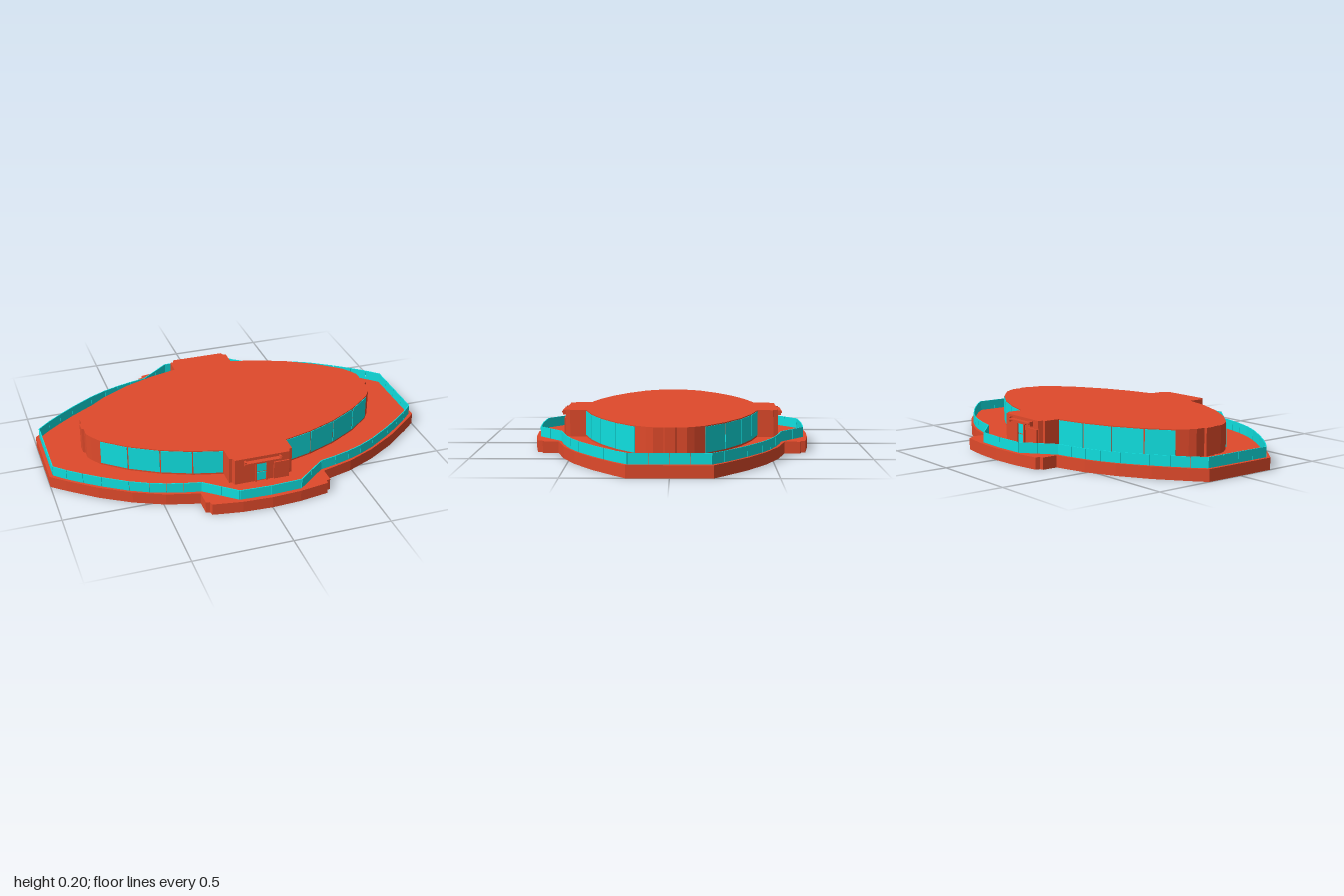
import * as THREE from 'three';

const red = new THREE.MeshStandardMaterial({ color: 0xe04a2b, flatShading: true });
const cyan = new THREE.MeshStandardMaterial({ color: 0x10e0e0, flatShading: true });

// Quarter outlines as [x, z], running from the +x end to the centre of the front
const BASE = [[1, 0.2], [0.93, 0.26], [0.79, 0.37], [0.64, 0.462], [0.49, 0.53], [0.325, 0.575],
  [0.325, 0.655], [0.305, 0.66], [0.3, 0.683], [0.15, 0.707], [0, 0.715]];
const RAIL = [[0.98, 0.19], [0.92, 0.247], [0.85, 0.303], [0.77, 0.362], [0.65, 0.44], [0.56, 0.485],
  [0.48, 0.515], [0.4, 0.538], [0.315, 0.557], [0.235, 0.622], [0.16, 0.683], [0, 0.69]];
const CABIN = [[0.793, 0.025], [0.782, 0.03], [0.782, 0.08], [0.765, 0.115], [0.73, 0.165], [0.61, 0.262],
  [0.465, 0.345], [0.315, 0.405], [0.165, 0.445], [0.165, 0.53], [0.15, 0.532], [0.143, 0.555], [0, 0.555]];
const WINDOWS = CABIN.slice(4, 9);

const CORNERS = [[1, 1], [-1, 1], [-1, -1], [1, -1]];

// Mirrors a quarter outline into a slab standing between two heights
function slab(name, quarter, y0, y1) {
  const points = CORNERS.flatMap(([sx, sz]) => {
    const part = quarter.map(([x, z]) => new THREE.Vector2(sx * x, sz * z));
    return sx * sz < 0 ? part.reverse() : part;
  });
  const outline = points.filter((p, i) => p.distanceTo(points[(i + 1) % points.length]) > 1e-5);
  const geometry = new THREE.ExtrudeGeometry(new THREE.Shape(outline), { depth: y1 - y0, bevelEnabled: false });
  geometry.rotateX(-Math.PI / 2);
  const mesh = new THREE.Mesh(geometry, red);
  mesh.name = name;
  mesh.position.y = y0;
  return mesh;
}

// Upright pane between two plan points
function pane(name, [ax, az], [bx, bz], y0, y1, thickness, gap, material = cyan) {
  const length = Math.hypot(bx - ax, bz - az);
  const mesh = new THREE.Mesh(new THREE.BoxGeometry(length - gap, y1 - y0, thickness), material);
  mesh.name = name;
  mesh.position.set((ax + bx) / 2, (y0 + y1) / 2, (az + bz) / 2);
  mesh.rotation.y = -Math.atan2(bz - az, bx - ax);
  return mesh;
}

function box(name, material, x0, x1, y0, y1, z0, z1) {
  const mesh = new THREE.Mesh(new THREE.BoxGeometry(x1 - x0, y1 - y0, z1 - z0), material);
  mesh.name = name;
  mesh.position.set((x0 + x1) / 2, (y0 + y1) / 2, (z0 + z1) / 2);
  return mesh;
}

// Runs of panes along a quarter outline, mirrored to all four corners
function paneRun(name, quarter, y0, y1, thickness, gap) {
  const group = new THREE.Group();
  group.name = name;
  for (const [sx, sz] of CORNERS) {
    for (let i = 0; i < quarter.length - 1; i++) {
      const [a, b] = [quarter[i], quarter[i + 1]].map(([x, z]) => [sx * x, sz * z]);
      group.add(pane(name + 'Pane', a, b, y0, y1, thickness, gap));
    }
  }
  return group;
}

// Porch front: glass door, side frames and a stepped canopy
function entrance() {
  const group = new THREE.Group();
  group.name = 'entrance';
  group.add(
    box('doorLowerGlass', cyan, -0.03, 0.02, 0.065, 0.11, 0.55, 0.558),
    box('doorUpperGlass', cyan, -0.03, 0.02, 0.115, 0.165, 0.55, 0.558),
    box('doorFrame', red, 0.02, 0.028, 0.06, 0.165, 0.55, 0.563),
    box('doorFrame', red, -0.038, -0.03, 0.06, 0.165, 0.55, 0.563),
    box('sideLocker', red, 0.06, 0.14, 0.06, 0.155, 0.55, 0.563),
    box('canopy', red, -0.097, 0.095, 0.176, 0.184, 0.55, 0.58),
    box('canopyBrace', red, -0.035, 0.05, 0.168, 0.176, 0.55, 0.57)
  );
  for (const s of [-1, 1]) {
    group.add(box('canopyEnd', red, s * 0.092 - 0.005, s * 0.092 + 0.005, 0.166, 0.19, 0.55, 0.574));
  }
  return group;
}

export function createModel() {
  const model = new THREE.Group();
  model.name = 'terraceBuilding';

  model.add(slab('base', BASE, 0, 0.06));
  model.add(slab('cabin', CABIN, 0.06, 0.2));

  // Glass railing around the terrace, closed across both ends
  const railing = paneRun('railing', RAIL, 0.06, 0.112, 0.005, 0.002);
  for (const s of [-1, 1]) {
    for (let i = 0; i < 4; i++) {
      const z = -0.19 + i * 0.095;
      railing.add(pane('railingPane', [s * 0.98, z], [s * 0.98, z + 0.095], 0.06, 0.112, 0.005, 0.002));
    }
  }
  model.add(railing);

  // Large cabin windows
  model.add(paneRun('windows', WINDOWS, 0.07, 0.195, 0.006, 0.006));

  // Matching entrances front and back
  const front = entrance();
  const back = entrance();
  back.rotation.y = Math.PI;
  model.add(front, back);
  return model;
}
